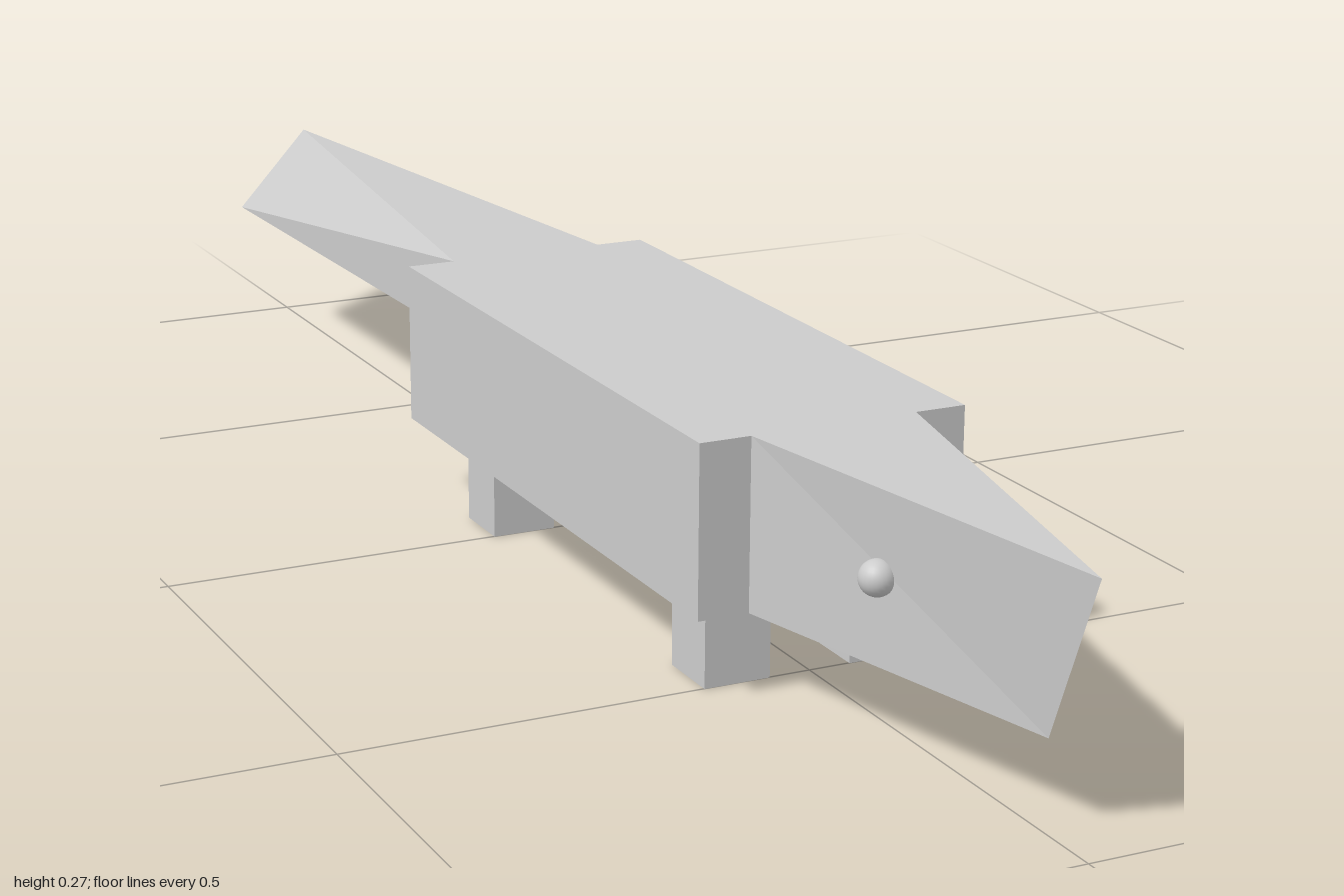
import * as THREE from 'three';

const solid = new THREE.MeshStandardMaterial({ color: 0xcccccc, flatShading: true });
const thin = new THREE.MeshStandardMaterial({ color: 0xcccccc, flatShading: true, side: THREE.DoubleSide });
const smooth = new THREE.MeshStandardMaterial({ color: 0xcccccc });

export function createModel() {
  const model = new THREE.Group();

  function add(name, geometry, material, x = 0, y = 0, z = 0) {
    const mesh = new THREE.Mesh(geometry, material);
    mesh.name = name;
    mesh.position.set(x, y, z);
    model.add(mesh);
  }

  // Flat-shaded surface from named corners and triangles
  function facets(corners, triangles) {
    const points = triangles.flatMap((t) => [...t].flatMap((k) => corners[k]));
    const g = new THREE.BufferGeometry();
    g.setAttribute('position', new THREE.Float32BufferAttribute(points, 3));
    g.computeVertexNormals();
    return g;
  }

  // Long slab body
  add('body', new THREE.BoxGeometry(0.29, 0.179, 0.725), solid, 0, 0.1775, 0.1775);

  // Wedge head: a and b are upper corners, c and d lower corners, t and u the snout edge
  add('head', facets({
    a: [0.09, 0.267, 0.54], b: [-0.09, 0.267, 0.54],
    c: [0.09, 0.088, 0.54], d: [-0.09, 0.088, 0.54],
    t: [0, 0.261, 1], u: [0, 0.09, 0.93],
  }, ['abt', 'cud', 'auc', 'atu', 'bdu', 'but']), solid);

  // Tail: a hollow, open-bottomed shell that ends in a faceted point
  add('tail', facets({
    a: [0.09, 0.267, -0.185], b: [-0.09, 0.267, -0.185],
    c: [0.09, 0.18, -0.185], d: [-0.09, 0.18, -0.185],
    e: [0.09, 0.17, -0.915], f: [-0.09, 0.17, -0.915],
    r: [0, 0.267, -0.915], t: [0, 0.197, -1],
  }, ['arb', 'aer', 'brf', 'ace', 'bfd', 'ret', 'rtf', 'eft']), thin);

  // Tiny barb under the tail tip, facing back
  add('tailBarb', facets({
    e: [0.065, 0.17, -0.915], g: [0.035, 0.17, -0.915], h: [0.05, 0.12, -0.915],
  }, ['ehg']), solid);

  // Four stubby feet, just clear of the belly
  const foot = new THREE.BoxGeometry(0.072, 0.072, 0.072);
  for (const [name, z, rightX] of [['front', 0.465, -0.081], ['back', -0.035, -0.087]]) {
    add(name + 'LeftFoot', foot, solid, 0.081, 0.036, z);
    add(name + 'RightFoot', foot, solid, rightX, 0.036, z);
  }

  // Round eyes half sunk into the head
  const eye = new THREE.SphereGeometry(0.018, 24, 16);
  add('leftEye', eye, smooth, 0.054, 0.178, 0.72);
  add('rightEye', eye, smooth, -0.054, 0.178, 0.72);

  return model;
}
